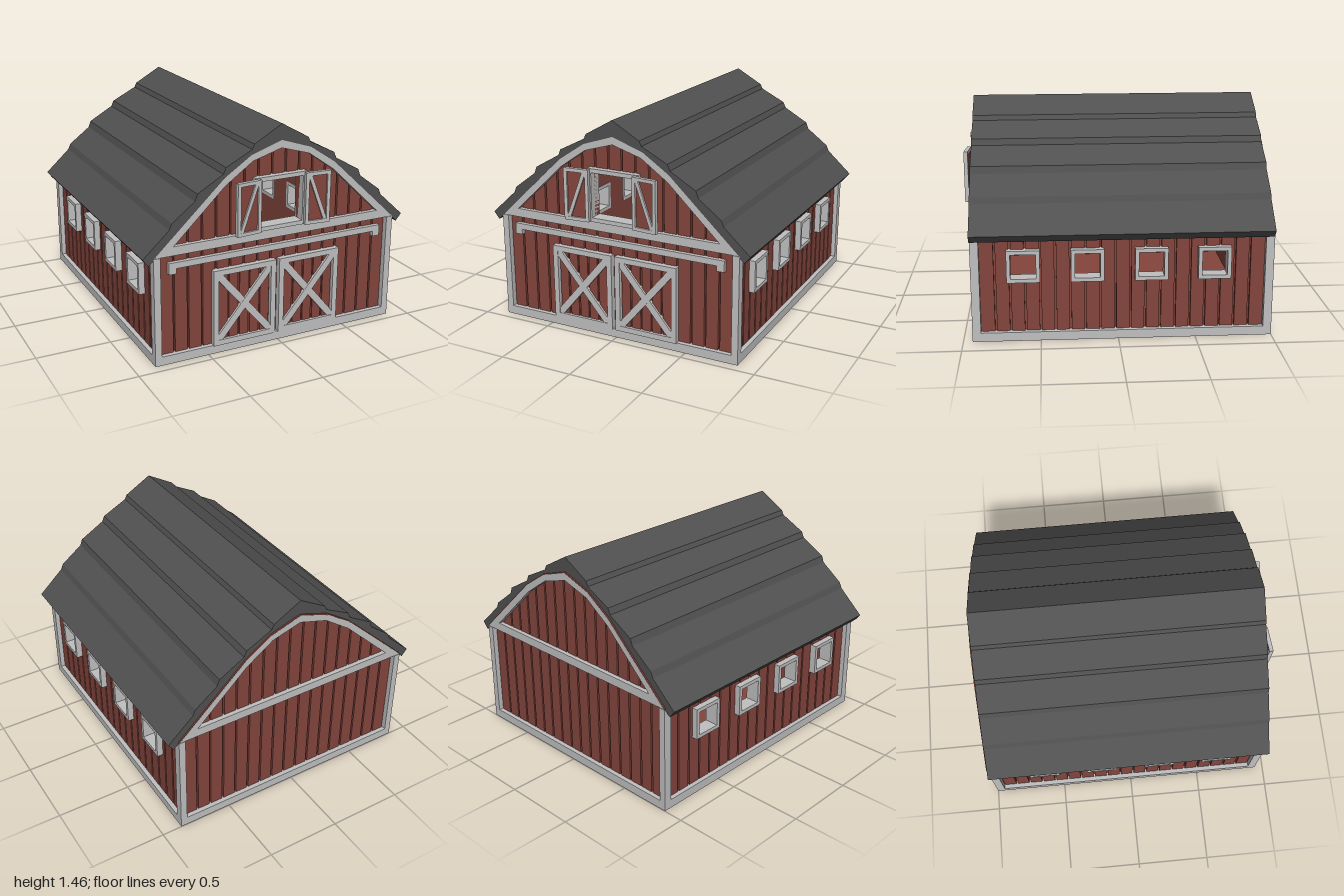
import * as THREE from 'three';

const paint = (name, color) => {
  const m = new THREE.MeshStandardMaterial({ color });
  m.name = name;
  return m;
};
const red = paint('barn red', 0x84453d);
const grey = paint('trim grey', 0xc0c0c0);
const dark = paint('roof charcoal', 0x505050);

// Half profiles of the gambrel gable, eave to ridge
const OUTER = [[0.865, 0.72], [0.39, 1.165], [0.21, 1.285], [0, 1.355]];
const INNER = [[0.735, 0.78], [0.385, 1.115], [0.2, 1.245], [0, 1.305]];
const MIDDLE = [[0.83, 0.73], [0.388, 1.142], [0.205, 1.266], [0, 1.332]];
const ROOF_TOP = [[0.935, 0.73], [0.76, 0.89], [0.742, 0.93], [0.59, 1.045], [0.573, 1.09],
  [0.4, 1.19], [0.382, 1.23], [0.205, 1.32], [0.19, 1.352], [0, 1.46]];
const ROOF_UNDER = [[0.897, 0.682], ...OUTER.slice(1)];
// Full left-to-right outline from a half profile
const across = half => [...half, ...half.slice(0, -1).reverse().map(([x, y]) => [-x, y])];

const shapeOf = pts => new THREE.Shape(pts.map(([x, y]) => new THREE.Vector2(x, y)));
const rect = (x0, y0, x1, y1) => [[x0, y0], [x1, y0], [x1, y1], [x0, y1]];

// Flat outline with optional holes, extruded from z0 to z1
function slab(parent, name, mat, pts, z0, z1, holes = []) {
  const shape = shapeOf(pts);
  shape.holes = holes.map(shapeOf);
  const geo = new THREE.ExtrudeGeometry(shape, { depth: z1 - z0, bevelEnabled: false });
  geo.translate(0, 0, z0);
  const mesh = new THREE.Mesh(geo, mat);
  mesh.name = name;
  parent.add(mesh);
  return mesh;
}

function box(parent, name, mat, x0, y0, z0, x1, y1, z1) {
  const mesh = new THREE.Mesh(new THREE.BoxGeometry(x1 - x0, y1 - y0, z1 - z0), mat);
  mesh.position.set((x0 + x1) / 2, (y0 + y1) / 2, (z0 + z1) / 2);
  mesh.name = name;
  parent.add(mesh);
  return mesh;
}

const frame = (parent, name, x0, y0, x1, y1, t, z0, z1) =>
  slab(parent, name, grey, rect(x0, y0, x1, y1), z0, z1, [rect(x0 + t, y0 + t, x1 - t, y1 - t)]);

// Diagonal bar between two points
function brace(parent, x0, y0, x1, y1, w, z0, z1) {
  const mesh = box(parent, 'brace', grey, 0, 0, z0, Math.hypot(x1 - x0, y1 - y0), w, z1);
  mesh.position.set((x0 + x1) / 2, (y0 + y1) / 2, (z0 + z1) / 2);
  mesh.rotation.z = Math.atan2(y1 - y0, x1 - x0);
}

// Upright boards with narrow gaps, cut around rectangular holes [x0, y0, x1, y1]
function boards(parent, x0, x1, bottom, top, z0, z1, holes = [], pitch = 0.097) {
  const n = Math.round((x1 - x0) / pitch), w = (x1 - x0) / n, gap = 0.006;
  for (let i = 0; i < n; i++) {
    const a = x0 + i * w + gap, b = x0 + (i + 1) * w - gap;
    const cuts = [a, ...holes.flatMap(h => [h[0], h[2]]).filter(x => x > a && x < b).sort((p, q) => p - q), b];
    for (let k = 0; k + 1 < cuts.length; k++) {
      const l = cuts[k], r = cuts[k + 1], mid = (l + r) / 2;
      const h = holes.find(q => mid > q[0] && mid < q[2]);
      if (h) slab(parent, 'board', red, rect(l, bottom, r, h[1]), z0, z1);
      const y = h ? h[3] : bottom;
      slab(parent, 'board', red, [[l, y], [r, y], [r, top(r)], [l, top(l)]], z0, z1);
    }
  }
}

// Height of the gable boards at x
function gableTop(x) {
  const ax = Math.abs(x);
  for (let i = 0; i < 3; i++) {
    const [xa, ya] = MIDDLE[i], [xb, yb] = MIDDLE[i + 1];
    if (ax >= xb) return ya + (yb - ya) * (xa - ax) / (xa - xb);
  }
  return MIDDLE[3][1];
}

// End wall whose trim face lies at local z = 0
function endWall(name, holes) {
  const g = new THREE.Group();
  g.name = name;
  slab(g, 'wall', red, [[-0.83, 0.01], [0.83, 0.01], ...across(MIDDLE)], -0.08, -0.05, holes.map(h => rect(...h)));
  boards(g, -0.82, 0.82, 0.04, gableTop, -0.05, -0.03, holes);
  slab(g, 'gableTrim', grey, [...across(OUTER), ...across(INNER).reverse()], -0.06, 0);
  slab(g, 'beltBeam', grey, [[-0.86, 0.722], [0.86, 0.722], [0.8, 0.78], [-0.8, 0.78]], -0.06, -0.001);
  box(g, 'baseBeam', grey, -0.82, 0.001, -0.06, 0.82, 0.06, 0);
  return g;
}

// Side wall with windows at the given local centres, trim face at local z = 0
function sideWall(name, centres) {
  const g = new THREE.Group();
  g.name = name;
  const holes = centres.map(c => [c - 0.09, 0.415, c + 0.09, 0.595]);
  slab(g, 'wall', red, rect(-0.93, 0.01, 0.93, 0.73), -0.08, -0.05, holes.map(h => rect(...h)));
  boards(g, -0.915, 0.915, 0.04, () => 0.725, -0.05, -0.03, holes);
  box(g, 'baseBeam', grey, -0.915, 0.001, -0.06, 0.915, 0.06, 0);
  for (const c of centres) frame(g, 'windowFrame', c - 0.106, 0.4, c + 0.106, 0.612, 0.025, -0.085, 0.01);
  return g;
}

// Barn door with crossed braces
function door(x0, x1) {
  const g = new THREE.Group(), y0 = 0.055, y1 = 0.57, t = 0.036;
  g.name = 'barnDoor';
  box(g, 'panel', red, x0 + 0.01, y0, 0.9, x1 - 0.01, y1 - 0.01, 0.918);
  boards(g, x0 + t, x1 - t, y0 + t, () => y1 - t, 0.918, 0.928, [], 0.075);
  frame(g, 'doorFrame', x0, y0, x1, y1, t, 0.9, 0.947);
  const a = x0 + t, b = x1 - t, c = y0 + t, d = y1 - t;
  brace(g, a, c, b, d, 0.046, 0.92, 0.944);
  brace(g, a, d, b, c, 0.046, 0.92, 0.943);
  return g;
}

// Open loft shutter, hinged at its inner edge; s is the side
function shutter(s) {
  const g = new THREE.Group(), w = 0.172, h = 0.345;
  g.name = s > 0 ? 'leftShutter' : 'rightShutter';
  const x0 = s > 0 ? 0 : -w;
  box(g, 'panel', red, x0 + 0.008, 0.008, 0.004, x0 + w - 0.008, h - 0.008, 0.014);
  frame(g, 'shutterFrame', x0, 0, x0 + w, h, 0.023, 0, 0.027);
  brace(g, s * (w - 0.03), 0.02, s * 0.03, h - 0.02, 0.024, 0.012, 0.025);
  g.position.set(s * 0.16, 0.788, 0.957);
  g.rotation.y = -s * 0.085;
  return g;
}

export function createModel() {
  const barn = new THREE.Group();
  barn.name = 'barn';

  // Floor and corner posts
  box(barn, 'floor', red, -0.863, 0, -0.998, 0.863, 0.02, 0.938);
  for (const s of [-1, 1]) {
    const [a, b] = s > 0 ? [0.82, 0.865] : [-0.865, -0.82];
    box(barn, 'frontPost', grey, a, 0.001, 0.885, b, 0.72, 0.94);
    box(barn, 'backPost', grey, a, 0.001, -1, b, 0.72, -0.945);
  }

  // Walls
  const front = endWall('frontWall', [[-0.155, 0.805, 0.155, 1.108]]);
  front.position.z = 0.94;
  const back = endWall('backWall', []);
  back.position.z = -1;
  back.rotation.y = Math.PI;
  const centres = [0.637, 0.228, -0.181, -0.587];
  const left = sideWall('leftWall', centres.map(c => -c));
  left.position.set(0.865, 0, -0.03);
  left.rotation.y = Math.PI / 2;
  const right = sideWall('rightWall', centres);
  right.position.set(-0.865, 0, -0.03);
  right.rotation.y = -Math.PI / 2;
  barn.add(front, back, left, right);

  // Stepped gambrel roof and thin rim behind it
  slab(barn, 'roof', dark, [...across(ROOF_TOP), ...across(ROOF_UNDER).reverse()], -0.99, 0.94);
  const rim = OUTER.map(([x, y]) => [x, y + 0.007]);
  slab(barn, 'backRim', red, [...across(rim), ...across(OUTER).reverse()], -0.999, -0.988);

  // Sliding doors and their rail
  barn.add(door(-0.467, -0.024), door(0, 0.443));
  slab(barn, 'doorRail', grey, [[-0.765, 0.6], [-0.715, 0.6], [-0.715, 0.635], [0.715, 0.635],
    [0.715, 0.6], [0.765, 0.6], [0.765, 0.675], [-0.765, 0.675]], 0.905, 0.938);

  // Loft opening and shutters
  frame(barn, 'loftFrame', -0.182, 0.782, 0.182, 1.135, 0.027, 0.855, 0.95);
  barn.add(shutter(1), shutter(-1));
  return barn;
}
